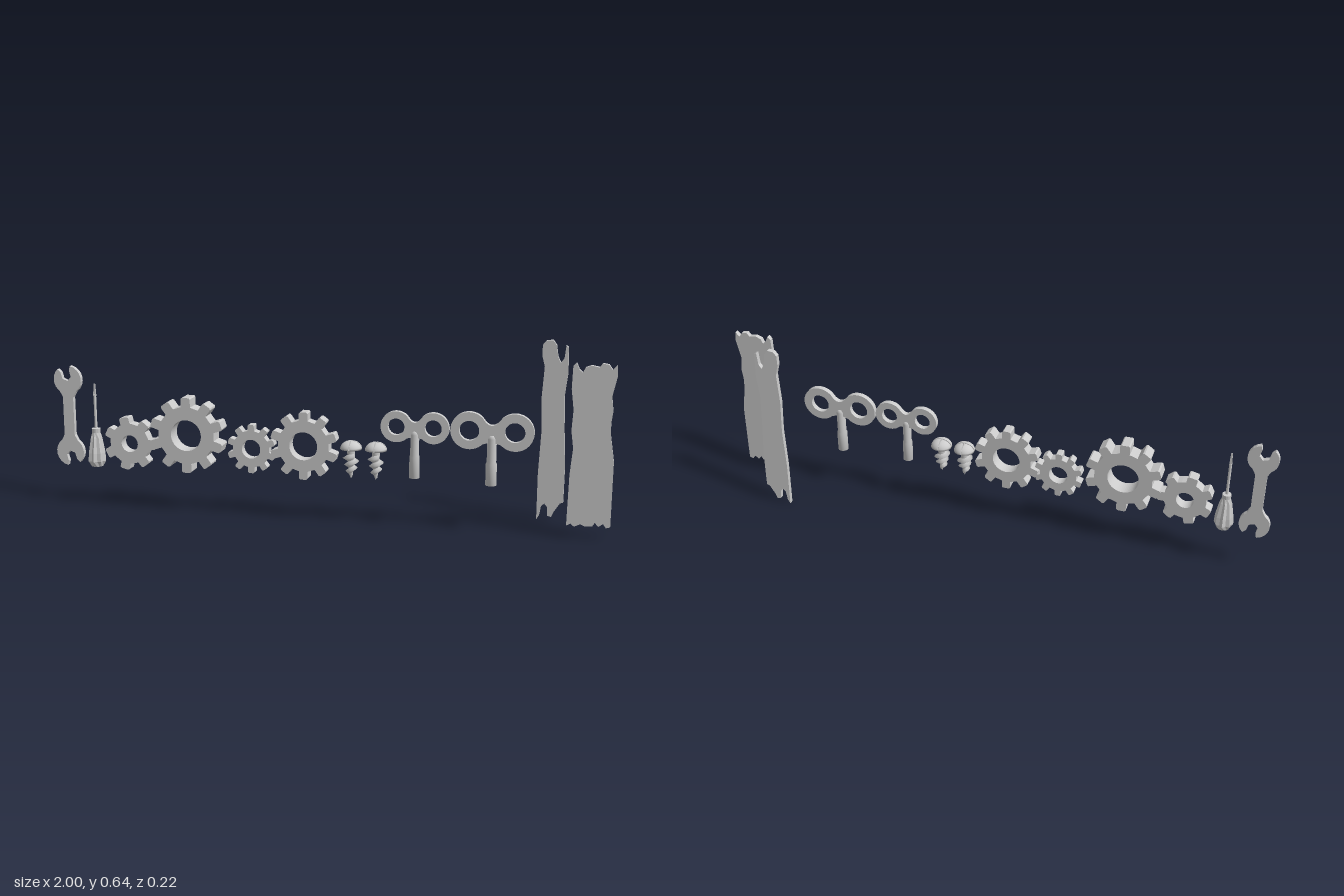
import * as THREE from 'three';

const mat = new THREE.MeshStandardMaterial({ color: 0xcccccc, side: THREE.DoubleSide });
const flatMat = new THREE.MeshStandardMaterial({ color: 0xcccccc, side: THREE.DoubleSide, flatShading: true });
const V = (x, y) => new THREE.Vector2(x, y);
const polar = (r, a) => V(r * Math.cos(a), r * Math.sin(a));
const profile = (list) => list.map(([x, y]) => V(x, y));

function mesh(name, geometry, material = mat) {
  const m = new THREE.Mesh(geometry, material);
  m.name = name;
  return m;
}

// Flat plate with its thickness centred on z = 0
function plate(shape, depth) {
  return new THREE.ExtrudeGeometry(shape, { depth, bevelEnabled: false, curveSegments: 28 }).translate(0, 0, -depth / 2);
}

function addHole(shape, x, y, r) {
  const hole = new THREE.Path();
  hole.absarc(x, y, r, 0, Math.PI * 2, true);
  shape.holes.push(hole);
}

function gear(name, r, holeR, teeth, depth, phase) {
  const pts = [];
  const pitch = (Math.PI * 2) / teeth;
  for (let i = 0; i < teeth; i++) {
    const a = phase + i * pitch;
    for (const [rad, off] of [[0.75, -0.5], [0.76, -0.27], [0.97, -0.21], [1, -0.15], [1, 0.15], [0.97, 0.21], [0.76, 0.27]]) {
      pts.push(polar(r * rad, a + off * pitch));
    }
  }
  const shape = new THREE.Shape(pts);
  addHole(shape, 0, 0, holeR);
  return mesh(name, plate(shape, depth));
}

// Double open-ended wrench: one half outline, repeated turned by 180 degrees
function wrench() {
  const r = 0.053, cy = 0.134, open = 1.84;
  const half = [V(0.02, 0.07)];
  const arc = (a0, a1) => {
    for (let i = 0; i <= 8; i++) half.push(polar(r, a0 + ((a1 - a0) * i) / 8).add(V(0, cy)));
  };
  arc(-0.95, open - 0.5);
  for (const [u, v] of [[0.032, -0.017], [0.008, -0.017], [-0.004, 0], [0.008, 0.017], [0.032, 0.017]]) {
    half.push(V(u, v).rotateAround(V(0, 0), open).add(V(0, cy)));
  }
  arc(open + 0.5, Math.PI + 0.95);
  half.push(V(-0.02, 0.07));
  const shape = new THREE.Shape([...half, ...half.map((p) => p.clone().negate())]);
  return mesh('wrench', plate(shape, 0.018));
}

function screwdriver() {
  const g = new THREE.Group();
  g.name = 'screwdriver';
  const handle = new THREE.LatheGeometry(profile([[0, 0], [0.022, 0], [0.034, 0.02], [0.032, 0.05], [0.022, 0.105], [0.015, 0.125], [0.016, 0.14], [0, 0.142]]), 16);
  // Flutes: pull in every second column of the grip
  const p = handle.attributes.position;
  for (let i = 0; i < p.count; i++) {
    const column = Math.floor(i / 8), row = i % 8;
    if (column % 2 && row > 1 && row < 5) p.setXYZ(i, p.getX(i) * 0.8, p.getY(i), p.getZ(i) * 0.8);
  }
  g.add(mesh('handle', handle, flatMat));
  const shaft = mesh('shaft', new THREE.CylinderGeometry(0.005, 0.005, 0.13, 12));
  shaft.position.y = 0.2;
  const blade = mesh('blade', new THREE.CylinderGeometry(0.004, 0.007, 0.045, 4, 1).rotateY(Math.PI / 4).scale(1, 1, 0.6), flatMat);
  blade.position.y = 0.283;
  g.add(shaft, blade);
  return g;
}

// Helical ridge that narrows towards the screw tip
function threadGeometry(turns, top, bottom) {
  const pos = [], idx = [], n = turns * 20;
  for (let i = 0; i <= n; i++) {
    const t = i / n, a = t * turns * Math.PI * 2;
    const y = top + (bottom - top) * t;
    const inner = 0.012 * (1 - 0.6 * t);
    const outer = inner + (0.02 - 0.008 * t) * Math.min(1, 8 * t, 8 * (1 - t));
    for (const [r, dy] of [[inner, 0.012], [outer, 0], [inner, -0.012]]) {
      pos.push(r * Math.cos(a), y + dy, r * Math.sin(a));
    }
    if (i < n) for (const k of [0, 1]) {
      const b = i * 3 + k;
      idx.push(b, b + 3, b + 1, b + 1, b + 3, b + 4);
    }
  }
  const g = new THREE.BufferGeometry();
  g.setAttribute('position', new THREE.Float32BufferAttribute(pos, 3));
  g.setIndex(idx);
  g.computeVertexNormals();
  return g;
}

function screw(name) {
  const g = new THREE.Group();
  g.name = name;
  // Domed head in four quarters, leaving a cross slot
  const dome = [V(0, 0)];
  for (let i = 0; i <= 7; i++) {
    const a = (i / 7) * Math.PI / 2;
    dome.push(V(0.036 * Math.cos(a), 0.029 * Math.sin(a)));
  }
  const side = new THREE.ShapeGeometry(new THREE.Shape(dome));
  for (let k = 0; k < 4; k++) {
    const quarter = new THREE.Group();
    quarter.name = 'headQuarter';
    quarter.add(mesh('dome', new THREE.LatheGeometry(dome, 8, 0, Math.PI / 2)));
    quarter.add(mesh('slotWall', side), mesh('slotWall', side.clone().rotateY(-Math.PI / 2)));
    const holder = new THREE.Group();
    quarter.position.set(0.002, 0, 0.002);
    holder.rotation.y = (k * Math.PI) / 2;
    holder.add(quarter);
    g.add(holder);
  }
  const slotFloor = mesh('slotFloor', new THREE.CylinderGeometry(0.031, 0.035, 0.013, 32));
  slotFloor.position.y = 0.0065;
  g.add(slotFloor);
  g.add(mesh('shank', new THREE.LatheGeometry(profile([[0, -0.108], [0.007, -0.09], [0.013, -0.03], [0.014, 0]]), 20)));
  g.add(mesh('thread', threadGeometry(3, -0.022, -0.092)));
  return g;
}

// Wind-up key: two eyes joined by a waist, on a round stem
function windKey(name, spread, r, holeR, stemBottom, stemR) {
  const g = new THREE.Group();
  g.name = name;
  const shape = new THREE.Shape();
  const a = 0.8;
  shape.absarc(spread, 0, r, -Math.PI + a, Math.PI - a, false);
  shape.quadraticCurveTo(0, -0.004, -spread + r * Math.cos(a), r * Math.sin(a));
  shape.absarc(-spread, 0, r, a, Math.PI * 2 - a, false);
  shape.quadraticCurveTo(0, -0.032, spread - r * Math.cos(a), -r * Math.sin(a));
  for (const s of [-1, 1]) addHole(shape, s * spread, 0, holeR);
  g.add(mesh('eyes', plate(shape, 0.019)));
  const b = stemBottom;
  g.add(mesh('stem', new THREE.LatheGeometry(profile([[0, b], [stemR, b], [stemR, b + 0.075], [stemR * 0.85, b + 0.08],
    [stemR * 0.85, -0.026], [stemR * 0.6, -0.014], [0, -0.01]]), 20)));
  return g;
}

function plank(name, outline) {
  return mesh(name, plate(new THREE.Shape(profile(outline)), 0.017));
}

export function createModel() {
  const model = new THREE.Group();
  const place = (part, x, y, z) => {
    part.position.set(x, y, z);
    model.add(part);
    return part;
  };

  place(wrench(), -0.948, 0.321, 0.058);
  place(screwdriver(), -0.842, 0.141, 0.068);

  // Gear row
  const up = Math.PI / 2;
  place(gear('smallGearA', 0.098, 0.031, 7, 0.042, up + 0.22), -0.704, 0.236, 0.069);
  place(gear('largeGear', 0.137, 0.056, 10, 0.06, up), -0.484, 0.281, 0.073);
  place(gear('smallGearB', 0.088, 0.034, 10, 0.034, up), -0.249, 0.241, 0.067);
  place(gear('mediumGear', 0.121, 0.05, 10, 0.046, up), -0.056, 0.265, 0.071);

  place(screw('screwA'), 0.11, 0.261, 0.071);
  place(screw('screwB'), 0.198, 0.261, 0.071);

  place(windKey('smallKey', 0.064, 0.054, 0.029, -0.178, 0.018), 0.334, 0.351, 0.077);
  place(windKey('largeKey', 0.077, 0.064, 0.034, -0.187, 0.019), 0.597, 0.351, 0.077);

  // Splintered planks, the narrow one leaning slightly
  const narrow = plank('narrowPlank', [
    [0.742, 0.002], [0.752, 0.02], [0.757, 0.052], [0.768, 0.062], [0.778, 0.05], [0.78, 0.018], [0.793, 0.014],
    [0.802, 0.035], [0.812, 0.05], [0.822, 0.066], [0.833, 0.07], [0.834, 0.2], [0.827, 0.33], [0.823, 0.45],
    [0.832, 0.53], [0.83, 0.62], [0.822, 0.625], [0.817, 0.58], [0.806, 0.565], [0.796, 0.585], [0.79, 0.625],
    [0.778, 0.642], [0.755, 0.64], [0.743, 0.625], [0.742, 0.59], [0.752, 0.55], [0.745, 0.44], [0.749, 0.32], [0.742, 0.17]]);
  place(narrow, 0, 0, -0.102).rotation.x = 0.016;
  place(plank('widePlank', [
    [0.854, 0.042], [0.868, 0.05], [0.88, 0.04], [0.9, 0.05], [0.915, 0.043], [0.94, 0.045], [0.948, 0.058],
    [0.96, 0.045], [0.975, 0.056], [0.985, 0.042], [0.999, 0.046], [1, 0.27], [0.986, 0.36], [0.985, 0.4],
    [0.99, 0.44], [0.984, 0.49], [0.999, 0.56], [0.996, 0.594], [0.982, 0.578], [0.97, 0.595], [0.95, 0.598], [0.94, 0.585],
    [0.915, 0.59], [0.895, 0.582], [0.887, 0.565], [0.876, 0.575], [0.866, 0.597], [0.855, 0.585], [0.853, 0.51],
    [0.862, 0.44], [0.858, 0.37], [0.866, 0.31], [0.858, 0.22]]), 0, 0, 0.077);
  return model;
}
